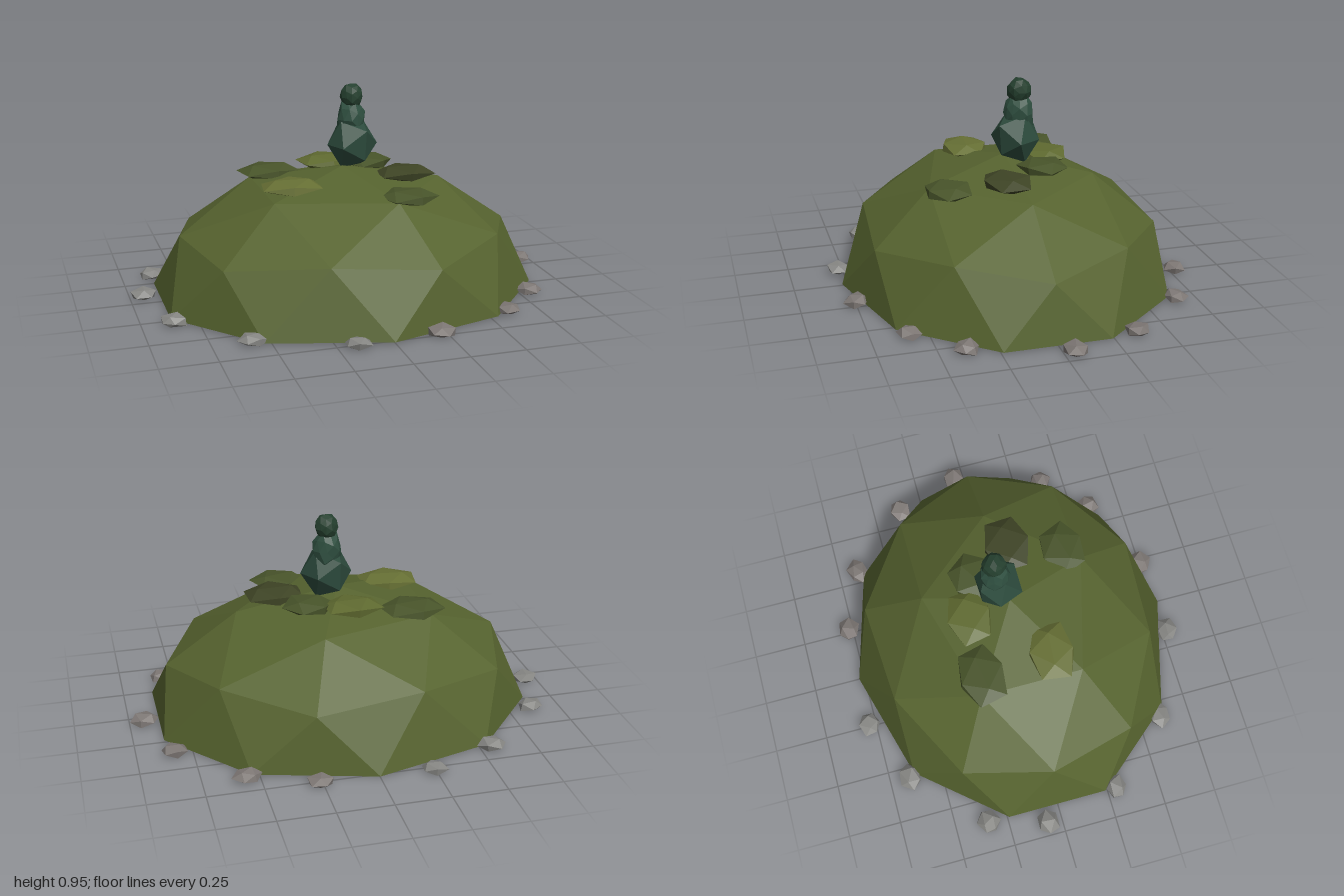
import * as THREE from 'three';

const flat = (color) => new THREE.MeshStandardMaterial({ color, flatShading: true });

// Repeatable offset in -1..1 that depends only on a corner's position, so seams stay closed
function noise(x, y, z, seed) {
  const r = (n) => Math.round(n * 1000) / 1000 + 0;
  const s = Math.sin(r(x) * 12.99 + r(y) * 78.23 + r(z) * 37.72 + seed * 4.13) * 43758.55;
  return (s - Math.floor(s)) * 2 - 1;
}

// Faceted ball: jittered, turned about y, stretched, and cut flat at the floor height
function blob(name, color, { at, size, detail = 0, turn = 0, tilt = 0, jitter = 0, seed = 1, floor = -Infinity }) {
  const g = new THREE.IcosahedronGeometry(1, detail);
  g.rotateZ(tilt);
  const p = g.attributes.position;
  for (let i = 0; i < p.count; i++) {
    const k = 1 + jitter * noise(p.getX(i), p.getY(i), p.getZ(i), seed);
    p.setXYZ(i, p.getX(i) * k, p.getY(i) * k, p.getZ(i) * k);
  }
  g.rotateY(turn);
  g.scale(...size);
  g.translate(...at);
  for (let i = 0; i < p.count; i++) p.setY(i, Math.max(p.getY(i), floor));
  g.computeVertexNormals();
  const mesh = new THREE.Mesh(g, flat(color));
  mesh.name = name;
  return mesh;
}

export function createModel() {
  const model = new THREE.Group();
  model.name = 'grassyMound';

  // Dome with a corner at the top and a ten-sided, flat base
  const poleUp = -Math.atan(1 / ((1 + Math.sqrt(5)) / 2));
  model.add(blob('mound', 0x56632f, {
    at: [0, 0.005, 0], size: [0.908, 0.575, 0.778], detail: 1, tilt: poleUp, floor: 0.005,
  }));

  // Flat grass patches: x, y, z, half width, half depth, turn, colour
  const patches = new THREE.Group();
  patches.name = 'grassPatches';
  [
    [-0.30, 0.525, -0.215, 0.155, 0.122, 0.2, 0x48542a],
    [-0.02, 0.557, -0.20, 0.15, 0.12, 0.1, 0x5f6a30],
    [0.165, 0.555, -0.14, 0.125, 0.12, 0.6, 0x48542a],
    [0.285, 0.54, 0.06, 0.148, 0.122, 0.05, 0x3e4425],
    [-0.275, 0.535, 0.12, 0.15, 0.122, -0.1, 0x666f34],
    [0.215, 0.50, 0.315, 0.14, 0.122, 0.3, 0x48542a],
  ].forEach(([x, y, z, w, d, turn, color], i) => {
    patches.add(blob('grassPatch', color, {
      at: [x, y, z], size: [w, 0.036, d], turn, jitter: 0.06, seed: i + 1,
    }));
  });
  model.add(patches);

  // Bush of three stacked clumps
  const bush = new THREE.Group();
  bush.name = 'bush';
  bush.add(
    blob('lowerClump', 0x2c4a3c, {
      at: [0.058, 0.67, -0.045], size: [0.122, 0.135, 0.115], turn: 0.45, jitter: 0.08, seed: 3, floor: 0.565,
    }),
    blob('middleClump', 0x2f4f40, {
      at: [0.06, 0.79, -0.058], size: [0.066, 0.1, 0.068], detail: 1, turn: 0.8, jitter: 0.1, seed: 5,
    }),
    blob('topClump', 0x25402f, {
      at: [0.063, 0.892, -0.058], size: [0.052, 0.062, 0.056], detail: 1, turn: 0.3, jitter: 0.08, seed: 8,
    }),
  );
  model.add(bush);

  // Stones scattered round the foot of the mound
  const stones = new THREE.Group();
  stones.name = 'stones';
  [
    [-0.24, -0.78], [0.26, -0.77], [-0.55, -0.65], [0.56, -0.65], [-0.86, -0.34],
    [0.835, -0.365], [-0.937, -0.07], [0.933, -0.05], [-0.86, 0.295], [0.80, 0.385],
    [-0.575, 0.605], [0.60, 0.585], [-0.165, 0.77], [0.22, 0.75],
  ].forEach(([x, z], i) => {
    stones.add(blob('stone', i % 2 ? 0x7d7774 : 0x868683, {
      at: [x, 0.017, z], size: [0.065, 0.033, 0.055], turn: i * 1.3, jitter: 0.15, seed: i + 2, floor: 0,
    }));
  });
  model.add(stones);

  return model;
}
